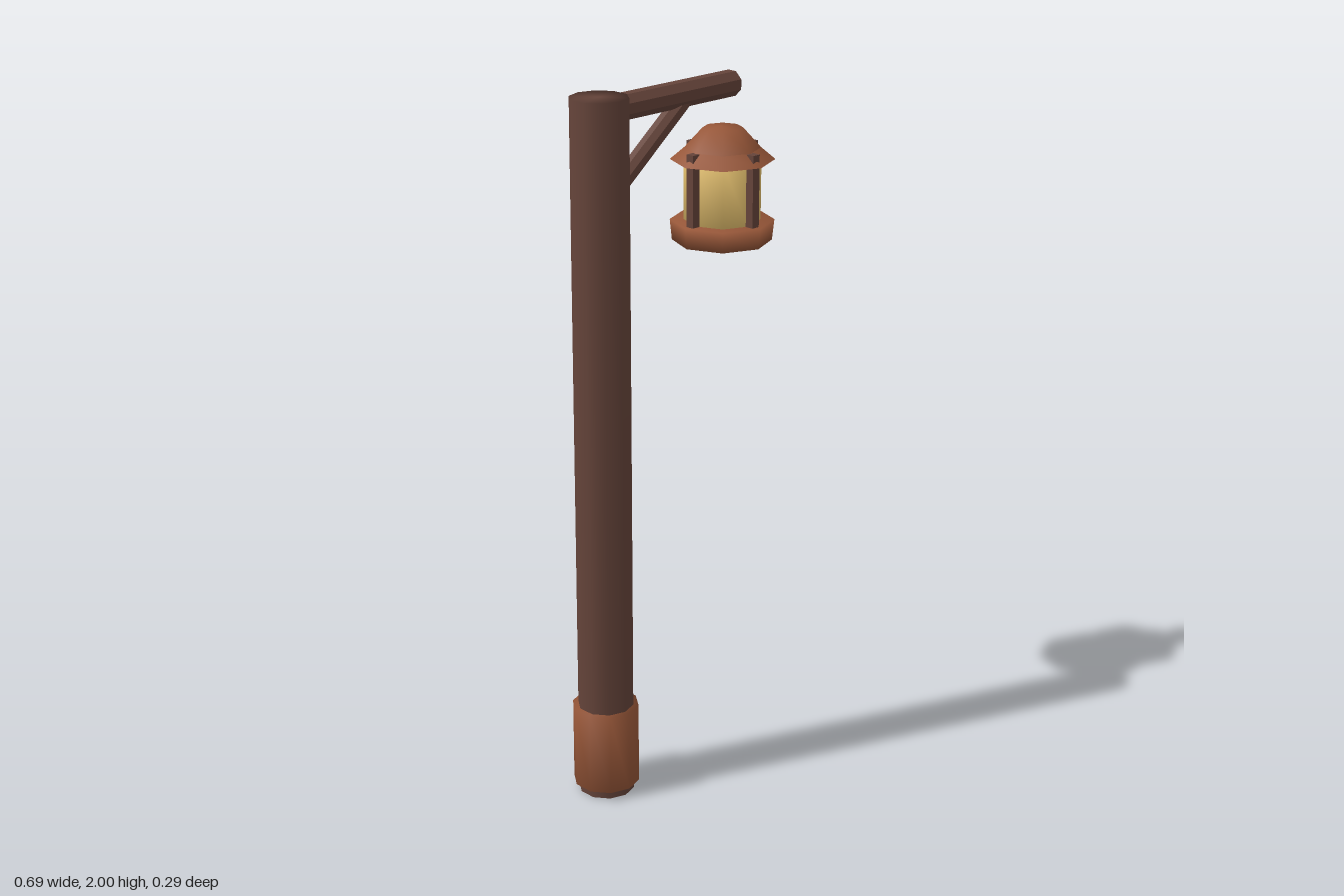
import * as THREE from 'three';
import { toCreasedNormals } from 'three/addons/utils/BufferGeometryUtils.js';

const mat = (name, color, side = THREE.FrontSide) => {
  const m = new THREE.MeshStandardMaterial({ color, side });
  m.name = name;
  return m;
};

export function createModel() {
  const wood = mat('dark wood', 0x65443a);
  const copper = mat('copper', 0x965638, THREE.DoubleSide);
  const glass = mat('amber glass', 0xe0bc6a);
  const root = new THREE.Group();
  root.name = 'lampPost';

  const add = (name, geometry, material, parent = root) => {
    const mesh = new THREE.Mesh(geometry, material);
    mesh.name = name;
    parent.add(mesh);
    return mesh;
  };
  const lathe = (points, sides, start = 0) =>
    new THREE.LatheGeometry(points.map(([r, y]) => new THREE.Vector2(r, y)), sides, start);

  // Closed drum whose smooth normals run over the rims
  const drum = (r0, y0, r1, y1, sides) => lathe([[0, y0], [r0, y0], [r1, y1], [0, y1]], sides);

  // Straight eight-sided beam between two points, with a chamfered far end
  const beam = (name, from, to, r, chamfer) => {
    const a = new THREE.Vector3(...from), b = new THREE.Vector3(...to);
    const len = a.distanceTo(b);
    const profile = [[0, 0], [r, 0], [r, len - chamfer], [r * 0.6, len], [0, len]];
    const mesh = add(name, toCreasedNormals(lathe(profile, 8, Math.PI / 8), 0.6), wood);
    mesh.position.copy(a);
    mesh.quaternion.setFromUnitVectors(new THREE.Vector3(0, 1, 0), b.sub(a).normalize());
  };

  // Post and its foot collar
  const postX = -0.257;
  add('post', drum(0.079, 0, 0.079, 2, 10), wood).position.x = postX;
  add('footCollar', drum(0.094, 0.026, 0.094, 0.265, 10), copper).position.x = postX;

  // Arm and diagonal brace
  beam('arm', [postX, 1.962, 0], [0.25, 1.962, 0], 0.0365, 0.016);
  beam('brace', [-0.21, 1.74, 0], [0.05, 1.948, 0], 0.026, 0.005);

  // Lantern
  const lantern = new THREE.Group();
  lantern.name = 'lantern';
  lantern.position.x = 0.2;
  root.add(lantern);

  add('tray', drum(0.138, 1.53, 0.144, 1.588, 8), copper, lantern);
  add('glass', drum(0.106, 1.57, 0.106, 1.77, 8), glass, lantern);

  // Domed roof with a flared eave
  const dome = [[0.12, 1.757], [0.102, 1.793], [0.055, 1.845], [0, 1.85]];
  add('roofDome', lathe(dome, 8), copper, lantern);
  add('roofUnderside', lathe([[0, 1.757], [0.12, 1.757]], 8), copper, lantern);
  add('roofEave', lathe([[0.144, 1.757], [0.105, 1.79]], 8), copper, lantern);

  // Four bars whose tips pass through the eave
  for (let i = 0; i < 4; i++) {
    const angle = i * Math.PI / 2;
    const bar = add('lanternBar', new THREE.BoxGeometry(0.025, 0.215, 0.025), wood, lantern);
    bar.position.set(0.114 * Math.sin(angle), 1.682, 0.114 * Math.cos(angle));
  }

  return root;
}
